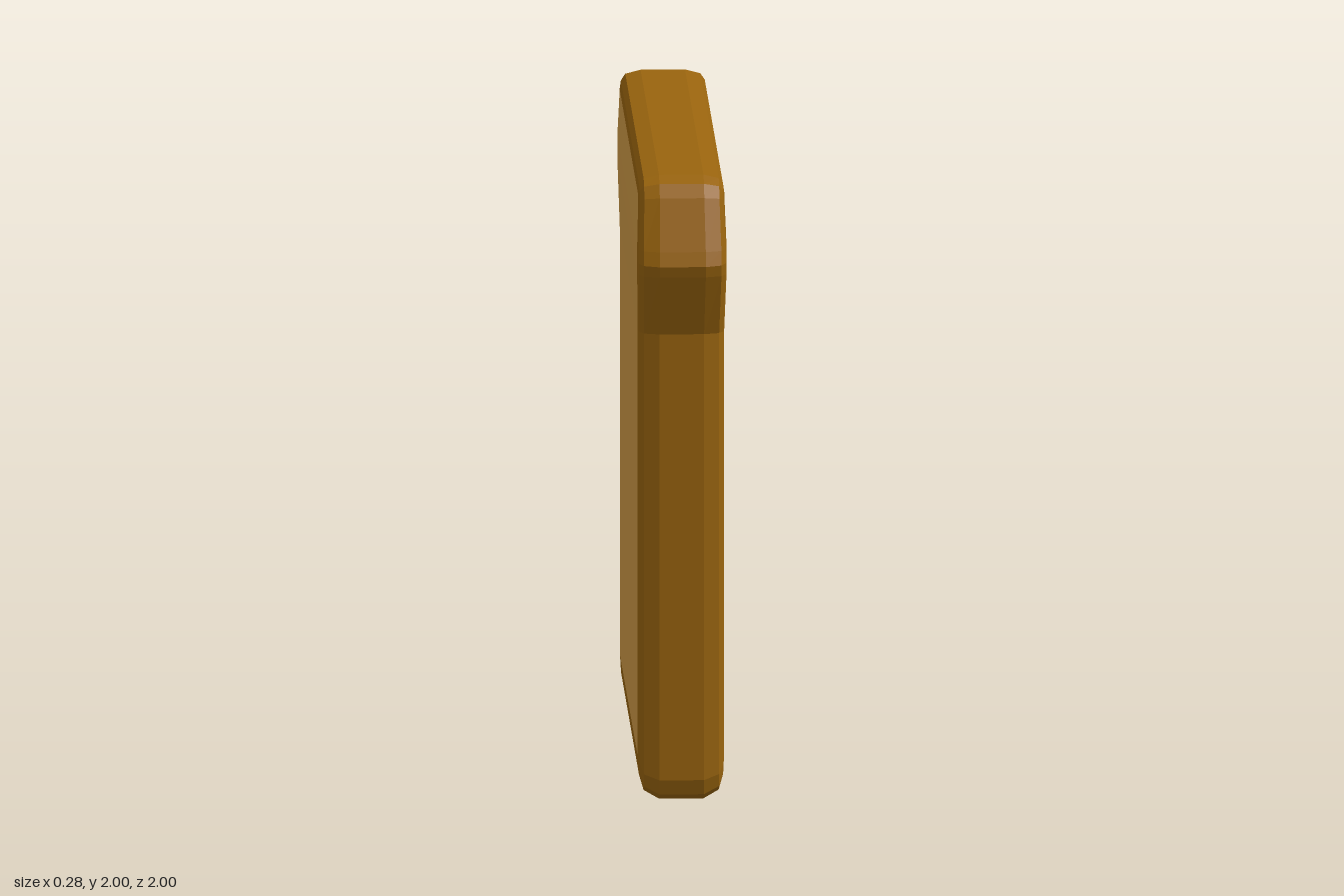
import * as THREE from 'three';

const crustMat = new THREE.MeshStandardMaterial({ color: 0x99640e });
crustMat.name = 'brown crust';
crustMat.flatShading = true;
const breadMat = new THREE.MeshStandardMaterial({ color: 0xd09b47 });
breadMat.name = 'golden bread';
breadMat.flatShading = true;

// Half outlines as [z, y], bottom to top: the crust rim and the bread face
const RIM = [[0.84, 0], [0.885, 0.022], [0.9, 0.07], [0.9, 1.5], [0.99, 1.7],
  [1, 1.735], [0.985, 1.78], [0.92, 1.94], [0.89, 1.98], [0.84, 2]];
const FACE = [[0.805, 0.132], [0.815, 0.138], [0.82, 0.152], [0.82, 1.5], [0.9, 1.7],
  [0.912, 1.74], [0.902, 1.78], [0.855, 1.915], [0.848, 1.932], [0.835, 1.94]];

// The slice is slightly thicker around its shoulders
const swell = (i) => (i >= 4 && i <= 6 ? 1.035 : 1);

// Crust cross-section: [x, blend from rim to face]
const HALF = [[0.07, 0], [0.118, 0.2], [0.132, 0.55], [0.136, 1]];
const SECTION = [...HALF.map(([x, t]) => [-x, t]).reverse(), ...HALF];

function pointAt(i, [x, t], side) {
  const z = THREE.MathUtils.lerp(RIM[i][0], FACE[i][0], t);
  const y = THREE.MathUtils.lerp(RIM[i][1], FACE[i][1], t);
  return [x * swell(i), y, z * side];
}

function makeMesh(name, quads, material) {
  const positions = [];
  for (const [a, b, c, d] of quads) positions.push(...a, ...b, ...c, ...a, ...c, ...d);
  const geometry = new THREE.BufferGeometry();
  geometry.setAttribute('position', new THREE.Float32BufferAttribute(positions, 3));
  geometry.computeVertexNormals();
  const mesh = new THREE.Mesh(geometry, material);
  mesh.name = name;
  return mesh;
}

// Bevelled band running all around the slice
function createCrust() {
  const n = RIM.length;
  const loops = SECTION.map((s) => [
    ...RIM.map((_, i) => pointAt(i, s, 1)),
    ...RIM.map((_, i) => pointAt(n - 1 - i, s, -1)),
  ]);
  const quads = [];
  for (let r = 0; r < loops.length - 1; r++) {
    for (let i = 0; i < 2 * n; i++) {
      const j = (i + 1) % (2 * n);
      quads.push([loops[r][i], loops[r + 1][i], loops[r + 1][j], loops[r][j]]);
    }
  }
  return makeMesh('crust', quads, crustMat);
}

// Broad bread face, made of strips across the slice
function createFace(name, dir) {
  const s = [0.136 * dir, 1];
  const quads = [];
  for (let i = 0; i < FACE.length - 1; i++) {
    const quad = [pointAt(i, s, 1), pointAt(i, s, -1), pointAt(i + 1, s, -1), pointAt(i + 1, s, 1)];
    quads.push(dir > 0 ? quad : quad.reverse());
  }
  return makeMesh(name, quads, breadMat);
}

export function createModel() {
  const group = new THREE.Group();
  group.name = 'breadSlice';
  group.add(createCrust(), createFace('leftBreadFace', 1), createFace('rightBreadFace', -1));
  return group;
}
